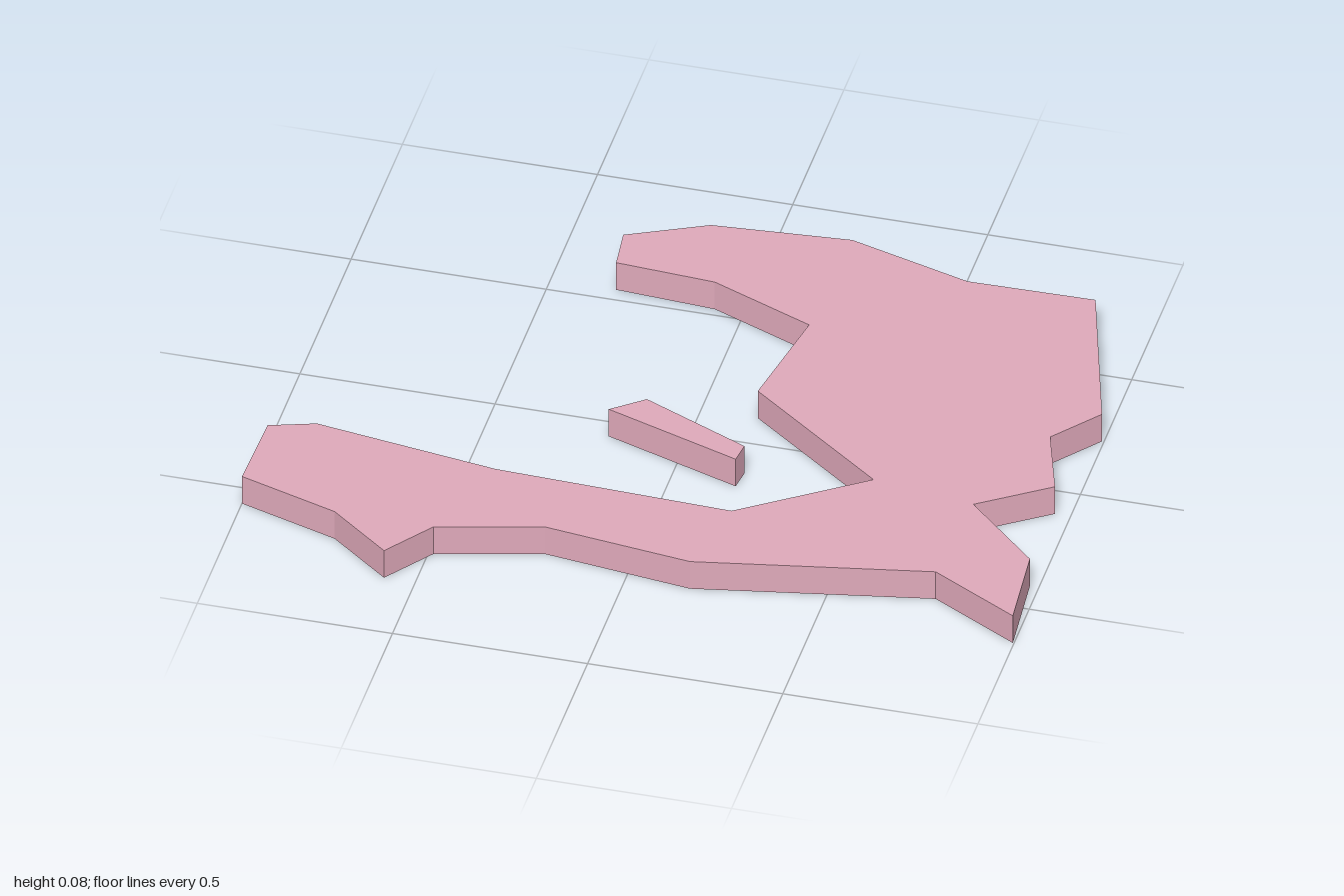
import * as THREE from 'three';

const HEIGHT = 0.083;

// Extrudes a flat outline of [x, z] corners upward from the ground.
function slab(name, outline, material) {
  const shape = new THREE.Shape(outline.map(([x, z]) => new THREE.Vector2(x, -z)));
  const geometry = new THREE.ExtrudeGeometry(shape, { depth: HEIGHT, bevelEnabled: false });
  geometry.rotateX(-Math.PI / 2);
  const mesh = new THREE.Mesh(geometry, material);
  mesh.name = name;
  return mesh;
}

export function createModel() {
  const group = new THREE.Group();
  group.name = 'islandPlate';
  const material = new THREE.MeshStandardMaterial({ color: 0xdfa9ba, flatShading: true });

  // Main land mass: north arm, eastern body, long southern arm
  group.add(slab('mainIsland', [
    [-0.345, -0.66], [-0.145, -0.755], [0.21, -0.783], [0.53, -0.687], [0.857, -0.692],
    [0.995, -0.23], [0.895, -0.105], [0.96, 0.095], [0.783, 0.218], [0.977, 0.405],
    [0.997, 0.648], [0.765, 0.517], [0.165, 0.63], [-0.22, 0.58], [-0.487, 0.65],
    [-0.58, 0.778], [-0.74, 0.65], [-1, 0.565], [-0.993, 0.34], [-0.877, 0.302],
    [-0.4, 0.375], [0.21, 0.397], [0.517, 0.18], [0.145, -0.108], [0.197, -0.41],
    [-0.075, -0.525], [-0.332, -0.542],
  ], material));

  // Small separate island in the bay
  group.add(slab('smallIsland', [
    [-0.193, 0.06], [-0.112, -0.005], [0.172, 0.125], [0.165, 0.184],
  ], material));

  return group;
}
